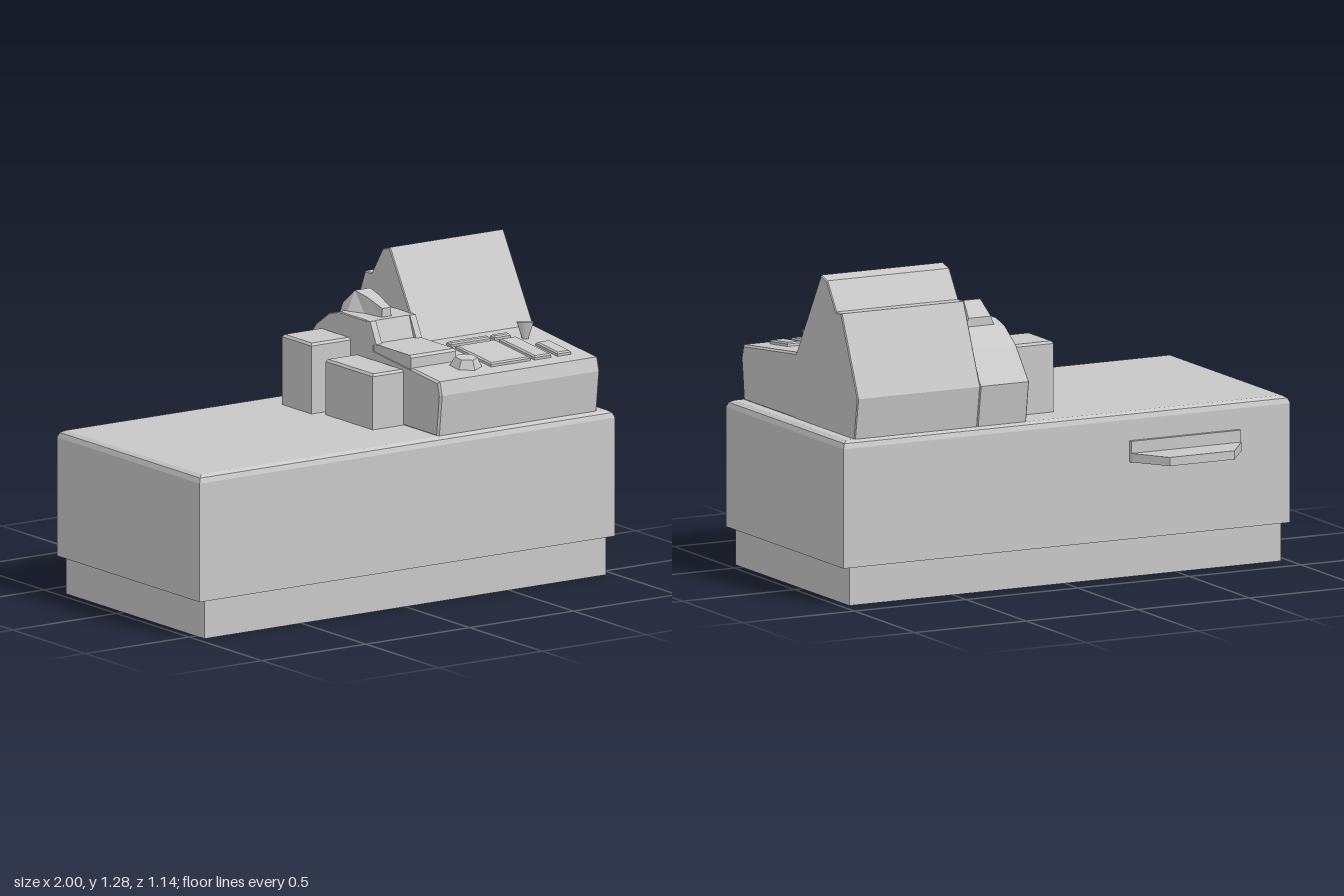
import * as THREE from 'three';

const grey = new THREE.MeshStandardMaterial({ color: 0xc8c8c8, side: THREE.DoubleSide });
grey.name = 'grey';

export function createModel() {
  const root = new THREE.Group();
  const add = (name, geo, x = 0, y = 0, z = 0) => {
    const m = new THREE.Mesh(geo, grey);
    m.name = name;
    m.position.set(x, y, z);
    root.add(m);
    return m;
  };

  // Side profile of (z, y) points swept from x0 to x1, with a small bevel
  const prism = (pts, x0, x1, b = 0) => {
    const g = new THREE.ExtrudeGeometry(new THREE.Shape(pts.map(p => new THREE.Vector2(...p))), {
      depth: x1 - x0 - 2 * b, bevelEnabled: b > 0, bevelSize: b, bevelThickness: b, bevelOffset: -b, bevelSegments: 1,
    });
    return g.rotateY(-Math.PI / 2).translate(x1 - b, 0, 0);
  };

  // Skin over rings of equal point count, optionally capped at both ends
  const loft = (rings, capStart, capEnd) => {
    const v = [], tri = (a, b, c) => v.push(...a, ...b, ...c);
    const n = rings[0].length;
    for (let i = 0; i < rings.length - 1; i++) {
      for (let j = 0; j < n; j++) {
        const k = (j + 1) % n, a = rings[i], b = rings[i + 1];
        tri(a[j], a[k], b[k]);
        tri(a[j], b[k], b[j]);
      }
    }
    const last = rings[rings.length - 1];
    for (let j = 1; j < n - 1; j++) {
      if (capStart) tri(rings[0][0], rings[0][j + 1], rings[0][j]);
      if (capEnd) tri(last[0], last[j], last[j + 1]);
    }
    const g = new THREE.BufferGeometry();
    g.setAttribute('position', new THREE.Float32BufferAttribute(v, 3));
    g.computeVertexNormals();
    return g;
  };
  const rect = (x0, x1, z0, z1, y, d = 0) =>
    [[x0 + d, y, z1 - d], [x1 - d, y, z1 - d], [x1 - d, y, z0 + d], [x0 + d, y, z0 + d]];

  // Hollow plinth and counter, both open underneath
  add('plinth', loft([rect(-0.968, 0.965, -0.392, 0.558, 0), rect(-0.968, 0.965, -0.392, 0.558, 0.156)]));
  const c = (y, d) => rect(-1, 1, -0.41, 0.572, y, d);
  add('counter', loft([c(0.155, 0), c(0.635, 0), c(0.655, 0.008), c(0.665, 0.025)], false, true));

  // Trapezoid shelf on the back, with its mounting lip
  const shelf = new THREE.Shape([[-0.77, 0.41], [-0.28, 0.41], [-0.28, 0.43], [-0.375, 0.57], [-0.665, 0.57], [-0.77, 0.43]]
    .map(p => new THREE.Vector2(...p)));
  add('backShelf', new THREE.ExtrudeGeometry(shelf, { depth: 0.035, bevelEnabled: false })
    .rotateX(-Math.PI / 2), 0, 0.467, 0);
  add('shelfLip', new THREE.BoxGeometry(0.49, 0.085, 0.016), -0.525, 0.508, -0.418);

  // Keyboard deck and tall display housing
  add('keyboardDeck', prism([[0.54, 0.66], [0.56, 0.83], [0.545, 0.885], [0.09, 0.931], [-0.1, 0.931], [-0.1, 0.66]],
    0.168, 0.938, 0.008));
  add('displayHousing', prism([[0.12, 0.66], [0.10, 0.93], [-0.105, 1.277], [-0.155, 1.262], [-0.23, 1.15],
    [-0.275, 1.15], [-0.412, 0.83], [-0.385, 0.66]], 0.388, 0.938, 0.004));

  // Printer housing beside the display, with a paper tray in front
  add('printerHousing', prism([[0.10, 0.66], [0.10, 0.955], [0.07, 1.04], [-0.14, 1.04], [-0.21, 1.02], [-0.30, 0.96],
    [-0.41, 0.83], [-0.385, 0.66]], 0.168, 0.388, 0.004));
  add('paperTray', prism([[0.355, 0.89], [0.355, 0.945], [0.345, 0.955], [0.09, 0.955], [0.09, 0.89]], 0.17, 0.385));
  for (const x of [0.168, 0.36]) {
    add('trayPost', prism([[0.12, 0.95], [0.075, 1.04], [0.05, 1.04], [0.05, 0.95]], x, x + 0.028));
  }

  // Boxes on the printer's outer side
  add('rearSideBox', loft([rect(-0.02, 0.172, -0.262, -0.06, 0.66), rect(-0.02, 0.172, -0.262, -0.06, 0.94),
    rect(-0.02, 0.172, -0.262, -0.06, 0.95, 0.008)], false, true));
  add('frontSideBox', loft([rect(0.02, 0.172, -0.02, 0.305, 0.66), rect(0.02, 0.172, -0.02, 0.305, 0.88),
    rect(0.02, 0.172, -0.02, 0.305, 0.89, 0.008)], false, true));

  // Spoon-shaped lever on the printer: z, bottom y, top y, bottom half-width, top half-width
  const lever = [[-0.19, 1.02, 1.06, 0.065, 0.05], [-0.125, 1.03, 1.12, 0.077, 0.037],
    [-0.05, 1.035, 1.105, 0.04, 0.03], [0.04, 1.035, 1.075, 0.024, 0.02]]
    .map(([z, y0, y1, w0, w1]) => [[0.272 - w0, y0, z], [0.272 + w0, y0, z], [0.272 + w1, y1, z], [0.272 - w1, y1, z]]);
  add('printerLever', loft(lever, true, true));

  // Keys lying on the sloped deck: x0, x1, z0, z1
  const deckY = z => 0.885 + (0.545 - z) * 0.101;
  const keys = [[0.47, 0.66, 0.23, 0.475], [0.68, 0.76, 0.23, 0.475], [0.79, 0.855, 0.325, 0.475],
    [0.47, 0.66, 0.17, 0.2], [0.68, 0.757, 0.17, 0.2]];
  for (const [x0, x1, z0, z1] of keys) {
    const w = x1 - x0, d = z1 - z0, z = (z0 + z1) / 2;
    const r = (y, i) => rect(-w / 2, w / 2, -d / 2, d / 2, y, i);
    const key = add('key', loft([r(-0.005, 0), r(0.01, 0), r(0.016, 0.006)], false, true), (x0 + x1) / 2, deckY(z), z);
    key.rotation.x = 0.1;
  }

  // Flared key switch and six-sided dial
  const lock = add('keySwitch', new THREE.CylinderGeometry(0.034, 0.012, 0.07, 8), 0.803, 0.95, 0.235);
  lock.scale.z = 0.4;
  lock.rotation.y = -0.6;
  const dial = add('dial', new THREE.CylinderGeometry(0.045, 0.066, 0.04, 6).toNonIndexed(), 0.387, 0.914, 0.422);
  dial.geometry.computeVertexNormals();
  dial.rotation.x = 0.1;

  return root;
}
